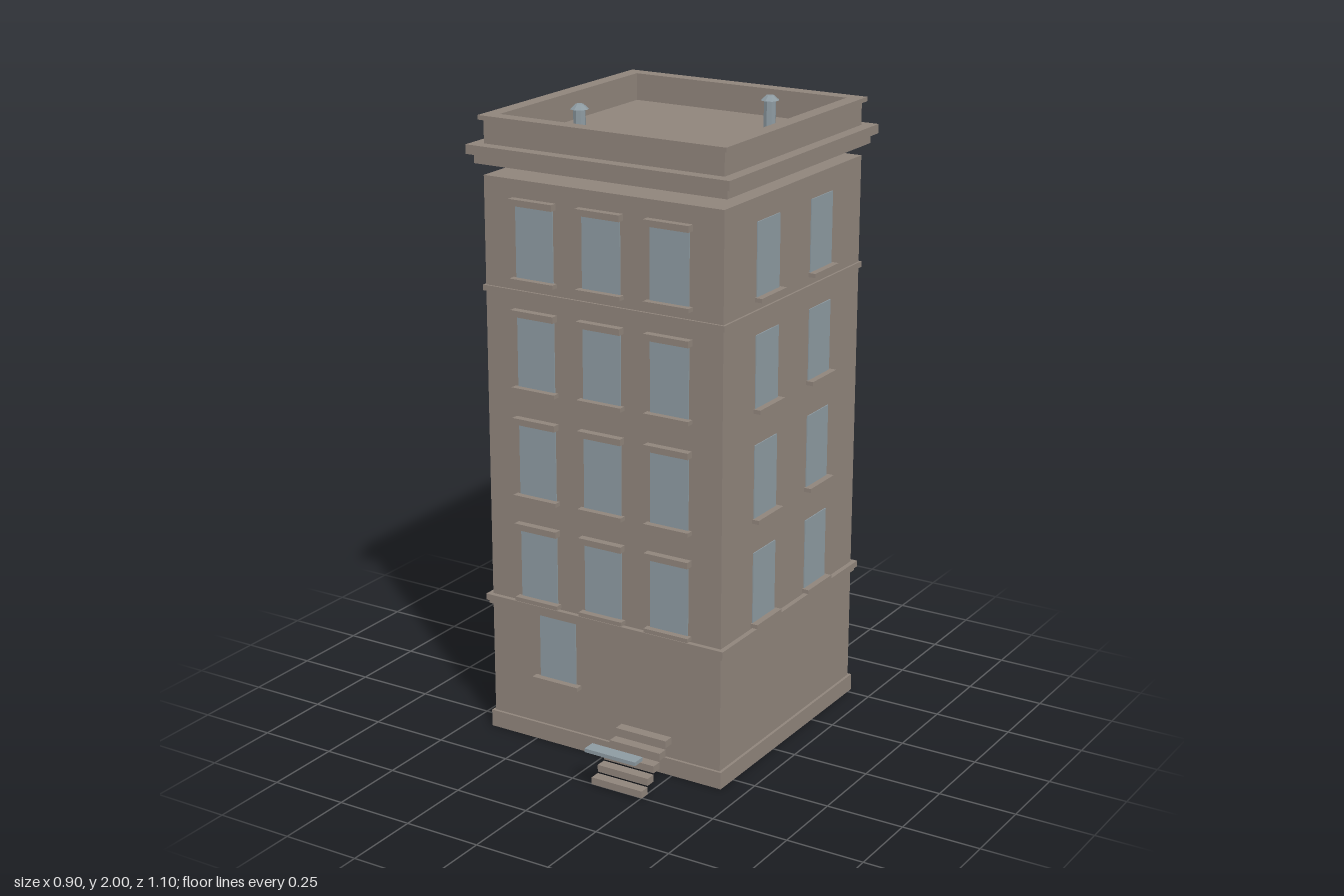
import * as THREE from 'three';

const CZ = -0.098;   // depth centre of the tower
const HALF = 0.415;  // half width of the walls

export function createModel() {
  const model = new THREE.Group();
  model.name = 'apartmentTower';
  const stone = new THREE.MeshStandardMaterial({ color: 0x8f847b });
  stone.name = 'stone';
  const glass = new THREE.MeshStandardMaterial({ color: 0x8d9aa1 });
  glass.name = 'glass';

  function add(parent, name, geometry, material, x, y, z) {
    const mesh = new THREE.Mesh(geometry, material);
    mesh.name = name;
    mesh.position.set(x, y, z);
    parent.add(mesh);
    return mesh;
  }
  function box(parent, name, material, w, h, d, x, y, z) {
    return add(parent, name, new THREE.BoxGeometry(w, h, d), material, x, y, z);
  }
  // Square slab between two heights
  function slab(name, half, y0, y1) {
    box(model, name, stone, half * 2, y1 - y0, half * 2, 0, (y0 + y1) / 2, CZ);
  }
  // Square ring between two heights
  function ring(name, outer, inner, y0, y1) {
    const square = (Type, r) => new Type([[-r, -r], [r, -r], [r, r], [-r, r]].map((p) => new THREE.Vector2(...p)));
    const shape = square(THREE.Shape, outer);
    shape.holes.push(square(THREE.Path, inner));
    const geo = new THREE.ExtrudeGeometry(shape, { depth: y1 - y0, bevelEnabled: false });
    geo.rotateX(-Math.PI / 2);
    add(model, name, geo, stone, 0, y0, CZ);
  }

  // Walls, hollow plinth and string courses
  slab('walls', HALF, 0.05, 1.8);
  ring('plinth', 0.424, 0.405, 0, 0.055);
  slab('lowerStringCourse', 0.424, 0.425, 0.437);
  slab('lowerStringCourseTop', 0.431, 0.437, 0.457);
  slab('upperStringCourse', 0.422, 1.445, 1.463);

  // Roof: stepped cornice, deck and parapet with a lip
  slab('corniceLower', 0.435, 1.837, 1.866);
  slab('corniceUpper', 0.452, 1.866, 1.895);
  ring('parapet', 0.413, 0.378, 1.895, 1.967);
  ring('parapetLip', 0.425, 0.378, 1.967, 1.981);

  // Roof vents
  for (const [x, z] of [[0.207, -0.305], [-0.209, 0.11]]) {
    const vent = new THREE.Group();
    vent.name = 'roofVent';
    vent.position.set(x, 0, z);
    model.add(vent);
    const pipe = new THREE.CylinderGeometry(0.019, 0.019, 0.095, 8).toNonIndexed();
    pipe.computeVertexNormals();
    add(vent, 'ventPipe', pipe, glass, 0, 1.9375, 0);
    const cap = new THREE.CylinderGeometry(0.012, 0.029, 0.015, 8).toNonIndexed();
    cap.computeVertexNormals();
    add(vent, 'ventCap', cap, glass, 0, 1.9925, 0);
  }

  // Each facade is a group facing local +z at the wall surface
  function facade(name, angle) {
    const group = new THREE.Group();
    group.name = name;
    group.position.set(Math.sin(angle) * HALF, 0, CZ + Math.cos(angle) * HALF);
    group.rotation.y = angle;
    model.add(group);
    return group;
  }
  function windowAt(parent, x, y0, y1, sillWidth, lintel) {
    box(parent, 'windowPane', glass, 0.133, y1 - y0, 0.006, x, (y0 + y1) / 2, 0);
    box(parent, 'windowSill', stone, sillWidth, 0.013, 0.034, x, y0 - 0.005, 0.007);
    if (lintel) box(parent, 'windowLintel', stone, 0.153, 0.02, 0.034, x, y1 + 0.008, 0.007);
  }
  const floors = [[0.474, 0.702], [0.812, 1.045], [1.159, 1.386], [1.5, 1.727]];

  const front = facade('frontFacade', 0);
  const right = facade('positiveXFacade', Math.PI / 2);
  const back = facade('backFacade', Math.PI);
  const left = facade('negativeXFacade', -Math.PI / 2);
  for (const [y0, y1] of floors) {
    for (const x of [-0.235, 0, 0.235]) windowAt(front, x, y0, y1, 0.155, true);
    for (const s of [-1, 1]) {
      windowAt(right, s * 0.162, y0, y1, 0.15, false);
      windowAt(left, s * 0.162, y0, y1, 0.15, false);
      windowAt(back, s * 0.17, y0, y1, 0.15, false);
    }
  }
  // Ground floor windows
  windowAt(front, -0.17, 0.216, 0.428, 0.168, false);
  for (const s of [-1, 1]) windowAt(back, s * 0.17, 0.141, 0.368, 0.15, false);

  // Open entrance stairs and the thin plate in front of them
  for (let i = 0; i < 5; i++) {
    box(model, 'stairStep', stone, 0.18, 0.023, 0.034, 0.166, 0.125 - i * 0.0275, 0.355 + i * 0.034);
  }
  box(model, 'entrancePlate', glass, 0.18, 0.012, 0.043, 0.166, 0.133, 0.524);

  return model;
}
